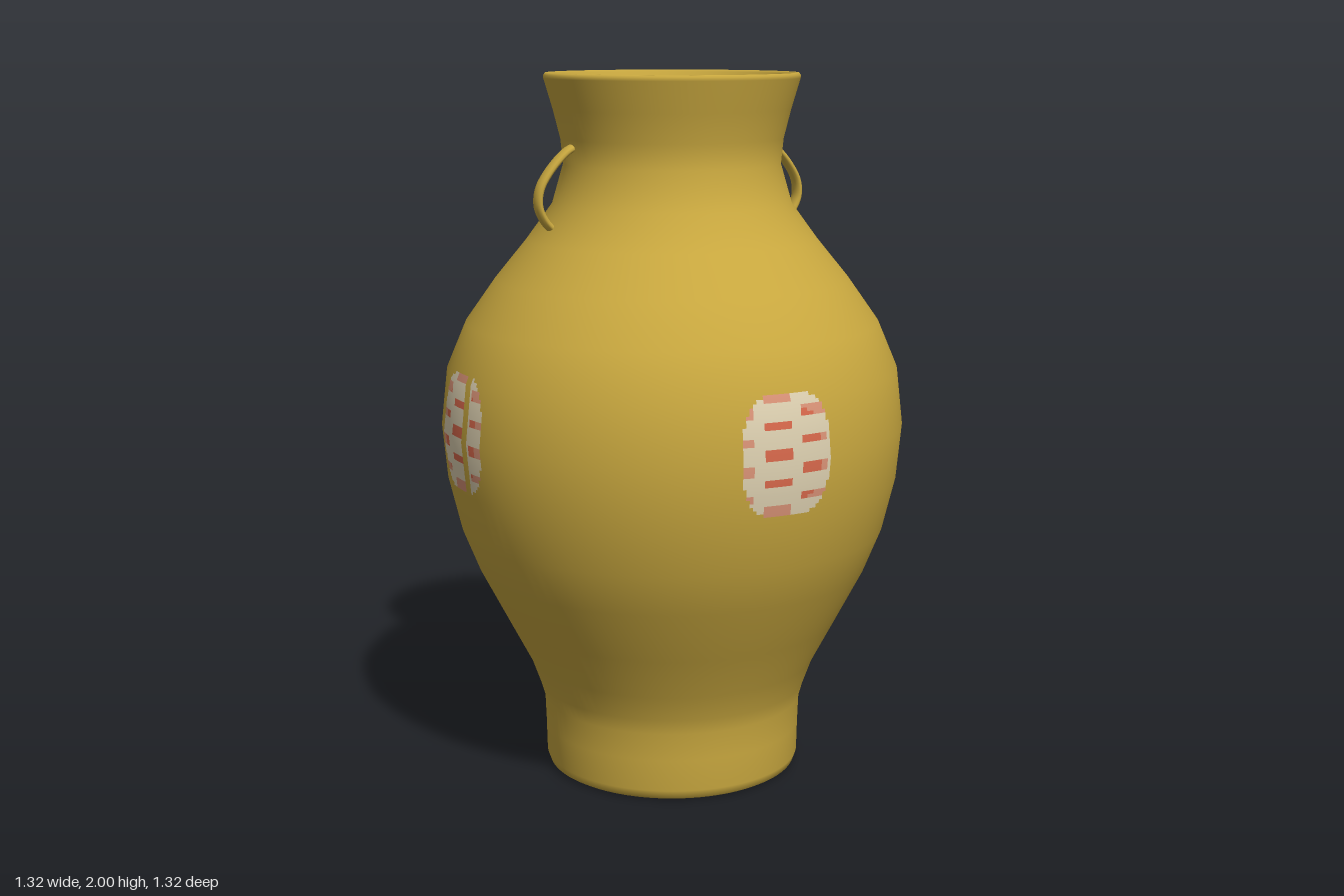
import * as THREE from 'three';

// Outer wall, foot to rim: [radius, height]
const WALL = [
  [0.37, 0.03], [0.372, 0.12], [0.375, 0.2], [0.388, 0.245], [0.415, 0.32], [0.48, 0.445],
  [0.56, 0.6], [0.608, 0.72], [0.644, 0.87], [0.658, 1.02], [0.64, 1.18], [0.585, 1.31],
  [0.5, 1.43], [0.41, 1.54], [0.337, 1.64], [0.305, 1.75], [0.312, 1.82], [0.332, 1.9], [0.357, 1.985],
];

// Wall radius at a height
function wallRadius(y) {
  for (let i = 1; i < WALL.length; i++) {
    const [r0, y0] = WALL[i - 1], [r1, y1] = WALL[i];
    if (y <= y1) return r0 + (r1 - r0) * (y - y0) / (y1 - y0);
  }
  return WALL[WALL.length - 1][0];
}

// Painted oval: small cells laid on the wall, grouped by colour
function patchGeometry(dashShift, gapX) {
  const cell = 0.01, midY = 1.04, halfW = 0.132, halfH = 0.165;
  const lists = [[], [], []];
  const colourAt = (x, y) => {
    const edge = Math.abs(x / halfW) ** 2.8 + Math.abs((y - midY) / halfH) ** 2.8;
    if (edge > 1 || (gapX !== null && Math.abs(x - gapX) < 0.012)) return -1;
    const column = Math.round((x - dashShift) / 0.11);
    const dx = x - dashShift - column * 0.11;
    const offset = (y - 1.045) / 0.075 + (column % 2 ? 0.5 : 0);
    const dy = (offset - Math.round(offset)) * 0.075;
    if (Math.abs(dx) > 0.037 || Math.abs(dy) > 0.0125) return 0;
    return edge > 0.5 ? 2 : 1;
  };
  for (let i = -14; i < 14; i++) {
    for (let j = -17; j < 17; j++) {
      const x = i * cell, y = midY + j * cell;
      const c = colourAt(x + cell / 2, y + cell / 2);
      if (c < 0) continue;
      const a = [x, y], b = [x + cell, y], d = [x + cell, y + cell], e = [x, y + cell];
      lists[c].push(a, b, d, a, d, e);
    }
  }
  const positions = [], normals = [];
  const geometry = new THREE.BufferGeometry();
  lists.forEach((list, c) => {
    geometry.addGroup(positions.length / 3, list.length, c);
    for (const [x, y] of list) {
      const angle = Math.asin(x / 0.655), r = wallRadius(y) + 0.003;
      const slope = (wallRadius(y + 0.08) - wallRadius(y - 0.08)) / 0.16;
      const n = new THREE.Vector3(Math.sin(angle), -slope, Math.cos(angle)).normalize();
      positions.push(r * Math.sin(angle), y, r * Math.cos(angle));
      normals.push(n.x, n.y, n.z);
    }
  });
  geometry.setAttribute('position', new THREE.Float32BufferAttribute(positions, 3));
  geometry.setAttribute('normal', new THREE.Float32BufferAttribute(normals, 3));
  return geometry;
}

export function createModel() {
  const material = (name, color) => {
    const m = new THREE.MeshStandardMaterial({ color });
    m.name = name;
    return m;
  };
  const ochre = material('ochre glaze', 0xc9a83f);
  const paints = [
    material('cream paint', 0xdfd2b2),
    material('red paint', 0xd9694c),
    material('pink paint', 0xdb9478),
  ];
  const group = new THREE.Group();
  group.name = 'vase';

  // Body: hollow foot, outer wall, rounded rim, inner wall and floor
  const inner = WALL.slice(1, -1).reverse().map(([r, y]) => [r - 0.033, y]);
  const profile = [
    [0, 0.1], [0.29, 0.1], [0.305, 0.095], [0.315, 0.08], [0.32, 0.02], [0.327, 0.005], [0.335, 0],
    [0.35, 0], [0.362, 0.007], ...WALL,
    [0.357, 1.994], [0.352, 2], [0.344, 2], [0.337, 1.994],
    ...inner, [0.335, 0.14], [0.325, 0.13], [0, 0.13],
  ].map(([r, y]) => new THREE.Vector2(r, y));
  const body = new THREE.Mesh(new THREE.LatheGeometry(profile, 96), ochre);
  body.name = 'body';
  group.add(body);

  // Handles: flattened loops from neck to shoulder
  for (const side of [1, -1]) {
    const path = new THREE.CatmullRomCurve3(
      [[0.295, 1.805], [0.325, 1.79], [0.375, 1.74], [0.405, 1.69], [0.409, 1.645], [0.393, 1.607], [0.365, 1.575]]
        .map(([x, y]) => new THREE.Vector3(side * x, y, 0)));
    const handle = new THREE.Mesh(new THREE.TubeGeometry(path, 32, 0.011, 12), ochre);
    handle.scale.z = 2.1;
    handle.name = side > 0 ? 'leftHandle' : 'rightHandle';
    group.add(handle);
  }

  // Painted ovals on the four sides
  const patches = [
    ['frontPatch', 0, -0.03, null],
    ['leftPatch', Math.PI / 2, 0, null],
    ['backPatch', Math.PI, -0.02, null],
    ['rightPatch', -Math.PI / 2, 0, 0.045],
  ];
  for (const [name, turn, shift, gap] of patches) {
    const patch = new THREE.Mesh(patchGeometry(shift, gap), paints);
    patch.rotation.y = turn;
    patch.name = name;
    group.add(patch);
  }
  return group;
}
